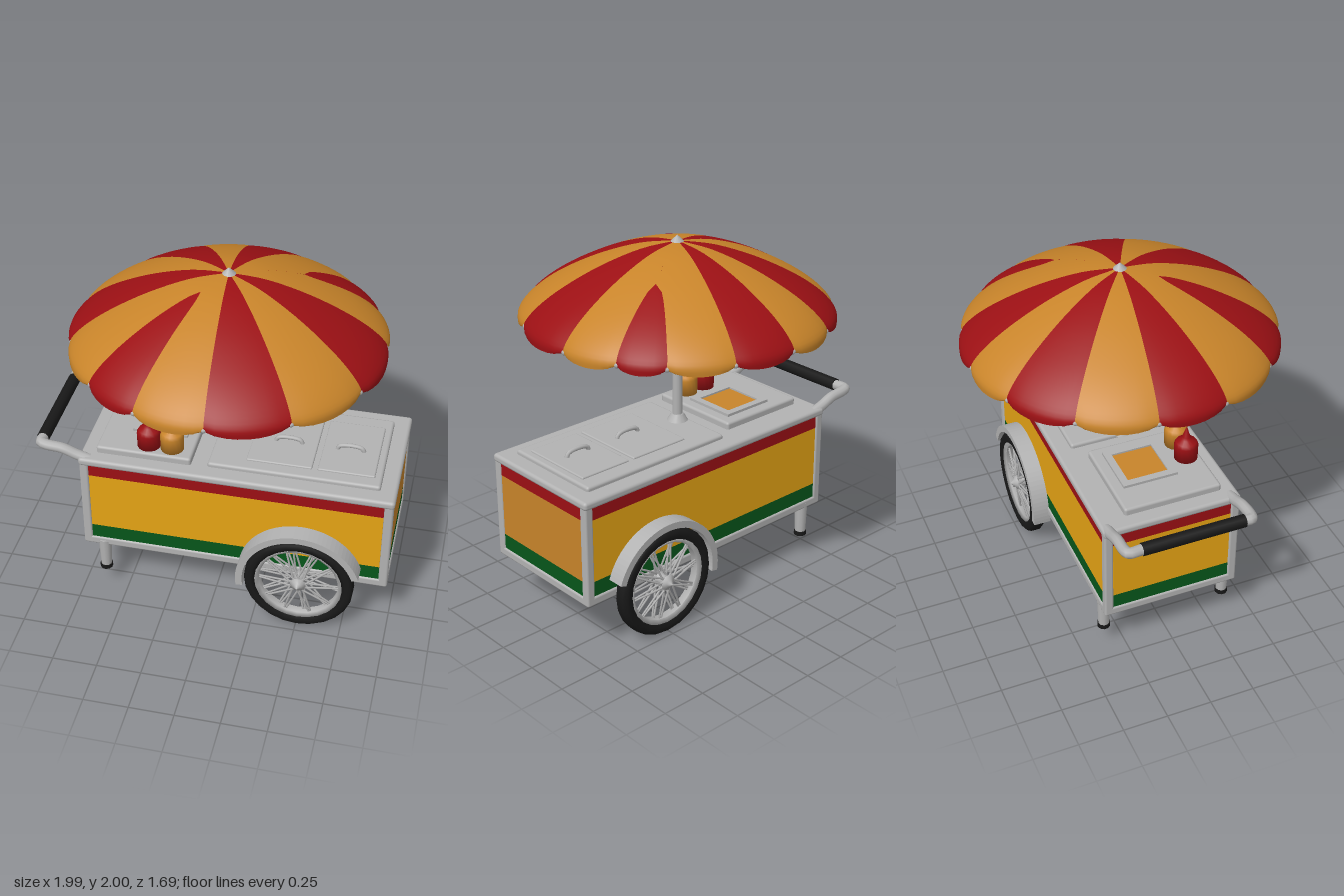
import * as THREE from 'three';
import { RoundedBoxGeometry } from 'three/addons/geometries/RoundedBoxGeometry.js';

const mat = (name, color, side = THREE.FrontSide) => {
  const m = new THREE.MeshStandardMaterial({ color, side });
  m.name = name;
  return m;
};

export function createModel() {
  const root = new THREE.Group();
  root.name = 'foodCart';
  const grey = mat('grey metal', 0xb2b2b2);
  const red = mat('red', 0x9c1014, THREE.DoubleSide);
  const amber = mat('amber', 0xc8842a, THREE.DoubleSide);
  const gold = mat('gold', 0xe6a414);
  const green = mat('green', 0x06561a);
  const black = mat('black rubber', 0x181818);

  const add = (name, geo, m, x = 0, y = 0, z = 0, parent = root) => {
    const mesh = new THREE.Mesh(geo, m);
    mesh.name = name;
    mesh.position.set(x, y, z);
    parent.add(mesh);
    return mesh;
  };
  // box given by its limits on each axis; r rounds the edges
  const box = (name, m, [x0, x1], [y0, y1], [z0, z1], r = 0) => {
    const s = [x1 - x0, y1 - y0, z1 - z0];
    const g = r ? new RoundedBoxGeometry(...s, 2, r) : new THREE.BoxGeometry(...s);
    return add(name, g, m, (x0 + x1) / 2, (y0 + y1) / 2, (z0 + z1) / 2);
  };
  // straight round bar between two points
  const bar = (name, m, a, b, r, parent = root, sides = 10, r2 = r) => {
    const p = new THREE.Vector3(...a), q = new THREE.Vector3(...b);
    const d = q.clone().sub(p);
    const mesh = add(name, new THREE.CylinderGeometry(r2, r, d.length(), sides), m, 0, 0, 0, parent);
    mesh.position.copy(p).add(q).multiplyScalar(0.5);
    mesh.quaternion.setFromUnitVectors(new THREE.Vector3(0, 1, 0), d.normalize());
    return mesh;
  };
  const tube = (name, m, pts, r, n = 16) =>
    add(name, new THREE.TubeGeometry(new THREE.CatmullRomCurve3(pts.map(p => new THREE.Vector3(...p))), n, r, 10), m);

  // ---- body: open-bottomed shell of four walls in a grey frame
  const X0 = -0.74, X1 = 0.985, Z0 = -0.395, Z1 = 0.375, P = 0.05;
  const bands = [['green', green, 0.36, 0.445], ['main', gold, 0.445, 0.8], ['red', red, 0.8, 0.87]];
  for (const [n, m, y0, y1] of bands) {
    box(n + 'FrontPanel', m, [X0 + P, X1 - P], [y0, y1], [Z1 - 0.03, Z1 - 0.008]);
    box(n + 'BackPanel', m, [X0 + P, X1 - P], [y0, y1], [Z0 + 0.008, Z0 + 0.03]);
    box(n + 'LeftEndPanel', n === 'main' ? amber : m, [X1 - 0.03, X1 - 0.008], [y0, y1], [Z0 + P, Z1 - P]);
    box(n + 'RightEndPanel', m, [X0 + 0.008, X0 + 0.03], [y0, y1], [Z0 + P, Z1 - P]);
  }
  for (const x of [X0, X1 - P]) {
    for (const z of [Z0, Z1 - P]) box('cornerPost', grey, [x, x + P], [0.31, 0.9], [z, z + P], 0.012);
    box('bottomEndRail', grey, [x, x + P], [0.31, 0.36], [Z0, Z1], 0.012);
  }
  for (const z of [Z0, Z1 - P]) box('bottomSideRail', grey, [X0, X1], [0.31, 0.36], [z, z + P], 0.012);
  box('counterTop', grey, [X0 - 0.005, X1 + 0.005], [0.868, 0.915], [Z0 - 0.005, Z1 + 0.005], 0.018);

  // ---- counter fittings
  box('coldLid', grey, [-0.04, 0.9], [0.9, 0.94], [-0.31, 0.29], 0.015);
  box('lidPanel', grey, [0.16, 0.52], [0.93, 0.95], [-0.22, 0.22], 0.008);
  box('lidPanel', grey, [0.55, 0.86], [0.93, 0.95], [-0.22, 0.22], 0.008);
  for (const x of [0.36, 0.7])
    tube('lidHandle', grey, [[x - 0.075, 0.94, 0.02], [x - 0.06, 0.97, 0.02], [x + 0.06, 0.97, 0.02], [x + 0.075, 0.94, 0.02]], 0.012);
  box('condimentBoard', grey, [-0.66, -0.13], [0.9, 0.955], [-0.25, 0.3], 0.015);
  box('binContents', amber, [-0.46, -0.23], [0.952, 0.96], [-0.15, 0.08]);
  for (const x of [-0.5, -0.23]) box('binRim', grey, [x, x + 0.04], [0.945, 0.97], [-0.19, 0.12]);
  for (const z of [-0.19, 0.08]) box('binRim', grey, [-0.46, -0.23], [0.945, 0.97], [z, z + 0.04]);
  box('storageBin', grey, [-0.6, -0.1], [0.42, 0.89], [-0.3, 0.02], 0.015);

  // ---- sauce bottles
  const bottle = [[0, 0], [0.064, 0], [0.066, 0.09], [0.056, 0.108], [0.03, 0.125], [0.022, 0.14], [0.004, 0.195], [0, 0.195]]
    .map(p => new THREE.Vector2(...p));
  add('redBottle', new THREE.LatheGeometry(bottle, 16), red, -0.38, 0.955, 0.22);
  add('amberBottle', new THREE.LatheGeometry(bottle, 16), amber, -0.25, 0.955, 0.22);

  // ---- push handle
  for (const [z, e] of [[0.335, 0.285], [-0.365, -0.285]]) {
    tube('handleArm', grey, [[-0.69, 0.89, z], [-0.76, 0.91, z], [-0.84, 0.94, z], [-0.93, 0.95, z], [-0.965, 0.955, z * 0.97], [-0.965, 0.955, e]], 0.03, 24);
  }
  bar('handleGrip', black, [-0.965, 0.955, -0.285], [-0.965, 0.955, 0.285], 0.035);

  // ---- support legs
  for (const z of [0.35, -0.36]) {
    bar('leg', grey, [-0.625, 0.15, z], [-0.625, 0.34, z], 0.031, root, 10, 0.037);
    bar('legFoot', black, [-0.625, 0.13, z], [-0.625, 0.155, z], 0.036);
  }

  // ---- wheels, axle and mudguards
  const WX = 0.505, WY = 0.305;
  bar('axle', grey, [WX, WY, -0.43], [WX, WY, 0.42], 0.025);
  const ring = (pts, n) => new THREE.LatheGeometry(pts.map(p => new THREE.Vector2(...p)), n).rotateX(Math.PI / 2);
  const tyre = ring([[0.245, -0.035], [0.265, -0.043], [0.29, -0.042], [0.305, -0.025], [0.305, 0.025], [0.29, 0.042], [0.265, 0.043], [0.245, 0.035], [0.245, -0.035]], 24);
  const rim = ring([[0.222, -0.022], [0.25, -0.037], [0.25, 0.037], [0.222, 0.022], [0.222, -0.022]], 24);
  const hub = ring([[0, -0.075], [0.022, -0.05], [0.045, -0.035], [0.03, -0.02], [0.03, 0.02], [0.045, 0.035], [0.022, 0.05], [0, 0.075]], 12);
  const guard = new THREE.Shape();
  guard.absarc(0, 0, 0.35, 0.33, 3.3, false);
  guard.absarc(0, 0, 0.312, 3.3, 0.33, true);
  const guardGeo = new THREE.ExtrudeGeometry(guard, { depth: 0.1, bevelEnabled: false, curveSegments: 20 });
  for (const [name, z, gz] of [['frontWheel', 0.418, 0.37], ['backWheel', -0.432, -0.48]]) {
    const wheel = new THREE.Group();
    wheel.name = name;
    wheel.position.set(WX, WY, z);
    root.add(wheel);
    add('tyre', tyre, black, 0, 0, 0, wheel);
    add('wheelRim', rim, grey, 0, 0, 0, wheel);
    add('hub', hub, grey, 0, 0, 0, wheel);
    for (let i = 0; i < 40; i++) {
      const a = i / 40 * Math.PI * 2, s = i % 2 ? 1 : -1;
      const b = a + (i % 4 < 2 ? 0.45 : -0.45);
      bar('spoke', grey, [0.036 * Math.cos(a), 0.036 * Math.sin(a), s * 0.032],
        [0.23 * Math.cos(b), 0.23 * Math.sin(b), s * 0.008], 0.006, wheel, 5);
    }
    add('mudguard', guardGeo, grey, WX, WY, gz);
  }

  // ---- parasol pole
  const PX = 0.015;
  add('poleBase', new THREE.CylinderGeometry(0.035, 0.07, 0.06, 14), grey, PX, 0.95, 0);
  bar('pole', grey, [PX, 0.92, 0], [PX, 1.95, 0], 0.029, root, 14, 0.021);
  add('finial', new THREE.ConeGeometry(0.046, 0.045, 12), grey, PX, 1.978, 0);

  // ---- parasol canopy: striped wedges with scalloped rims
  const profile = new THREE.SplineCurve([[0.01, 1.968], [0.2, 1.942], [0.42, 1.87], [0.62, 1.775], [0.76, 1.685], [0.84, 1.605], [0.848, 1.548]]
    .map(p => new THREE.Vector2(...p))).getPoints(24);
  const seams = [-5, 25, 56, 86, 112, 135, 163, 189, 217.5, 244.5, 268, 292, 315.5, 333];
  // two red wedges start part-way out: seam index -> [tip angle, tip radius]
  const tips = { 4: [123, 0.21], 5: [123, 0.21], 12: [327, 0.42], 13: [327, 0.42] };
  const seamAngle = (k, r) => {
    const i = k % 14, turn = k >= 14 ? 360 : 0;
    let a = seams[i];
    if (tips[i]) {
      const [tip, rs] = tips[i];
      const f = r <= rs ? 0 : Math.min(1, (1 - rs / r) / (1 - rs / 0.82));
      a = tip + (a - tip) * Math.sqrt(f);
    }
    return THREE.MathUtils.degToRad(a + turn);
  };
  const canopy = new THREE.Group();
  canopy.name = 'canopy';
  canopy.position.x = PX;
  root.add(canopy);
  const N = 8;
  for (let k = 0; k < 14; k++) {
    const pos = [], idx = [];
    profile.forEach((p, j) => {
      const t = j / (profile.length - 1);
      for (let c = 0; c <= N; c++) {
        const u = c / N, dip = 1 - Math.sqrt(Math.sin(Math.PI * u) + 1e-9);
        const a = THREE.MathUtils.lerp(seamAngle(k, p.x), seamAngle(k + 1, p.x), u);
        const r = p.x * (1 - 0.025 * dip * t * t);
        pos.push(r * Math.cos(a), p.y + 0.04 * dip * t ** 16, r * Math.sin(a));
        if (j && c) {
          const d = j * (N + 1) + c, b = d - N - 1;
          idx.push(b - 1, b, d - 1, b, d, d - 1);
        }
      }
    });
    const g = new THREE.BufferGeometry();
    g.setAttribute('position', new THREE.Float32BufferAttribute(pos, 3));
    g.setIndex(idx);
    g.computeVertexNormals();
    add(k % 2 ? 'amberWedge' : 'redWedge', g, k % 2 ? amber : red, 0, 0, 0, canopy);
    // grey rib tip at each seam
    const a = seamAngle(k, 0.85);
    add('ribTip', new THREE.SphereGeometry(0.016, 8, 6), grey, 0.822 * Math.cos(a), 1.582, 0.822 * Math.sin(a), canopy);
  }
  return root;
}
